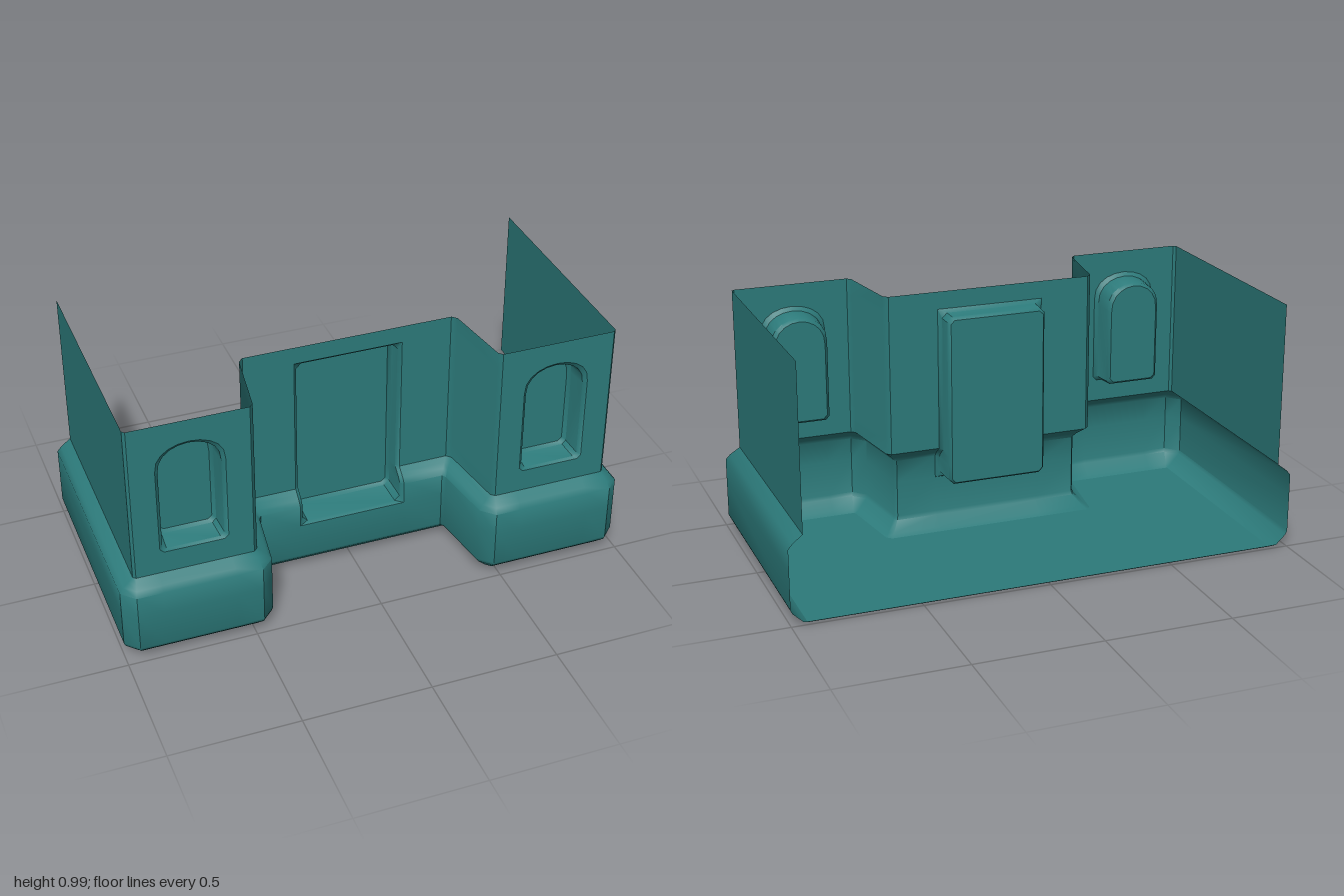
import * as THREE from 'three';
import { toCreasedNormals } from 'three/addons/utils/BufferGeometryUtils.js';

const material = new THREE.MeshStandardMaterial({ color: 0x2c7a7a, side: THREE.DoubleSide });

// Skin a list of equal-length point rows; skip(i, j) leaves a cell open
function skin(rows, skip = () => false) {
  const n = rows[0].length, index = [];
  for (let i = 0; i < rows.length - 1; i++) {
    for (let j = 0; j < n - 1; j++) {
      if (skip(i, j)) continue;
      const a = i * n + j, c = a + n;
      index.push(a, a + 1, c, a + 1, c + 1, c);
    }
  }
  const g = new THREE.BufferGeometry();
  g.setAttribute('position', new THREE.Float32BufferAttribute(rows.flat(2), 3));
  g.setIndex(index);
  return toCreasedNormals(g, 0.75);
}

function add(parent, name, geometry) {
  const mesh = new THREE.Mesh(geometry, material);
  mesh.name = name;
  parent.add(mesh);
  return mesh;
}

const flat = (pts) => new THREE.Shape(pts.map(([x, y]) => new THREE.Vector2(x, y)));
const close = (ring) => [...ring, ring[0]];

// Half outlines (x, z) from the centre bay round to the back edge
const plinth = [[0.215, 0.19], [0.375, 0.19], [0.385, 0.205], [0.42, 0.45], [0.47, 0.5],
  [0.57, 0.5], [0.85, 0.5], [0.95, 0.5], [1, 0.45], [1, -0.5]];
const wall = [[0.215, 0.137], [0.412, 0.137], [0.43, 0.155], [0.47, 0.43], [0.485, 0.445],
  [0.57, 0.445], [0.85, 0.445], [0.935, 0.445], [0.945, 0.435], [0.945, -0.5]];

// Height and blend from plinth (0) to wall (1)
const profile = [[0, 1.2], [0.012, 0.85], [0.05, 0.12], [0.065, 0], [0.21, 0], [0.3, 0],
  [0.32, 0.3], [0.335, 0.65], [0.35, 1], [0.42, 1], [0.92, 1], [0.99, 1]];

function outline([y, t]) {
  const half = plinth.map(([x, z], k) => [x + (wall[k][0] - x) * t, y, z + (wall[k][1] - z) * t]);
  if (y === 0) half[9][2] = -0.48;
  return [...half.map(([x, h, z]) => [-x, h, z]).reverse(), ...half];
}

// Front surface of the centre bay at height y
function bayZ(y) {
  const i = Math.max(1, profile.findIndex((p) => p[0] >= y));
  const [y0, t0] = profile[i - 1], [y1, t1] = profile[i];
  return 0.19 - 0.053 * (t0 + (t1 - t0) * (y - y0) / (y1 - y0));
}

// Chamfered rectangle with side points following the moulding
function doorRing(hw, y0, y1, c, zAt) {
  const mids = [0.3, 0.32, 0.335, 0.35];
  const right = [[hw - c, y0], [hw, y0 + c], ...mids.map((y) => [hw, y]), [hw, y1 - c], [hw - c, y1]];
  const left = right.map(([x, y]) => [-x, y]).reverse();
  return [...right, ...left].map(([x, y]) => [x, y, zAt(y)]);
}

// Niche outline: straight sides, soft bottom corners, arched top
function nicheRing(hw, y0, y1, z) {
  const c = 0.015, spring = y1 - 0.105;
  const pts = [[-hw + c, y0, z], [hw - c, y0, z], [hw, y0 + c, z]];
  for (let k = 0; k <= 10; k++) {
    const a = Math.PI * k / 10;
    pts.push([hw * Math.cos(a), spring + 0.105 * Math.sin(a) ** 0.85, z]);
  }
  pts.push([-hw, y0 + c, z]);
  return pts;
}

function addRecess(parent, name, rings) {
  add(parent, name + 'Sides', skin(rings.map(close)));
  const last = rings[rings.length - 1];
  add(parent, name + 'Back', new THREE.ShapeGeometry(flat(last))).position.z = last[0][2];
}

export function createModel() {
  const model = new THREE.Group();
  model.name = 'facadeBase';

  // Outer shell, open at the back and top, with cells left out for the recesses
  const rows = profile.map(outline);
  const skip = (i, j) => (j === 9 && i >= 4 && i <= 9) || (i === 9 && (j === 3 || j === 15));
  add(model, 'shell', skin(rows, skip));

  // Floor and its small upturned back lip
  const floor = new THREE.ShapeGeometry(flat(rows[0].map(([x, , z]) => [x, z])));
  add(model, 'floor', floor.rotateX(Math.PI / 2));
  add(model, 'floorLip', skin([rows[0], rows[1]].map((r) => [r[19], r[0]])));

  // Central door recess
  const door = new THREE.Group();
  door.name = 'doorRecess';
  addRecess(door, 'door', [
    doorRing(0.215, 0.21, 0.92, 0, bayZ),
    doorRing(0.202, 0.218, 0.907, 0.02, (y) => bayZ(y) - 0.015),
    doorRing(0.2, 0.22, 0.905, 0.02, () => 0.068),
    doorRing(0.19, 0.23, 0.895, 0.015, () => 0.053),
  ]);
  model.add(door);

  // Arched niches in both side blocks
  for (const [side, name] of [[-1, 'rightNiche'], [1, 'leftNiche']]) {
    const niche = new THREE.Group();
    niche.name = name;
    niche.position.x = side * 0.71;
    const rings = [
      nicheRing(0.13, 0.44, 0.9, 0.445),
      nicheRing(0.117, 0.446, 0.885, 0.432),
      nicheRing(0.112, 0.45, 0.878, 0.35),
      nicheRing(0.1, 0.46, 0.867, 0.337),
    ];
    const panel = flat([[-0.14, 0.42], [0.14, 0.42], [0.14, 0.92], [-0.14, 0.92]]);
    panel.holes.push(flat(rings[0]));
    add(niche, 'nicheSurround', new THREE.ShapeGeometry(panel)).position.z = 0.445;
    addRecess(niche, 'niche', rings);
    model.add(niche);
  }
  return model;
}
